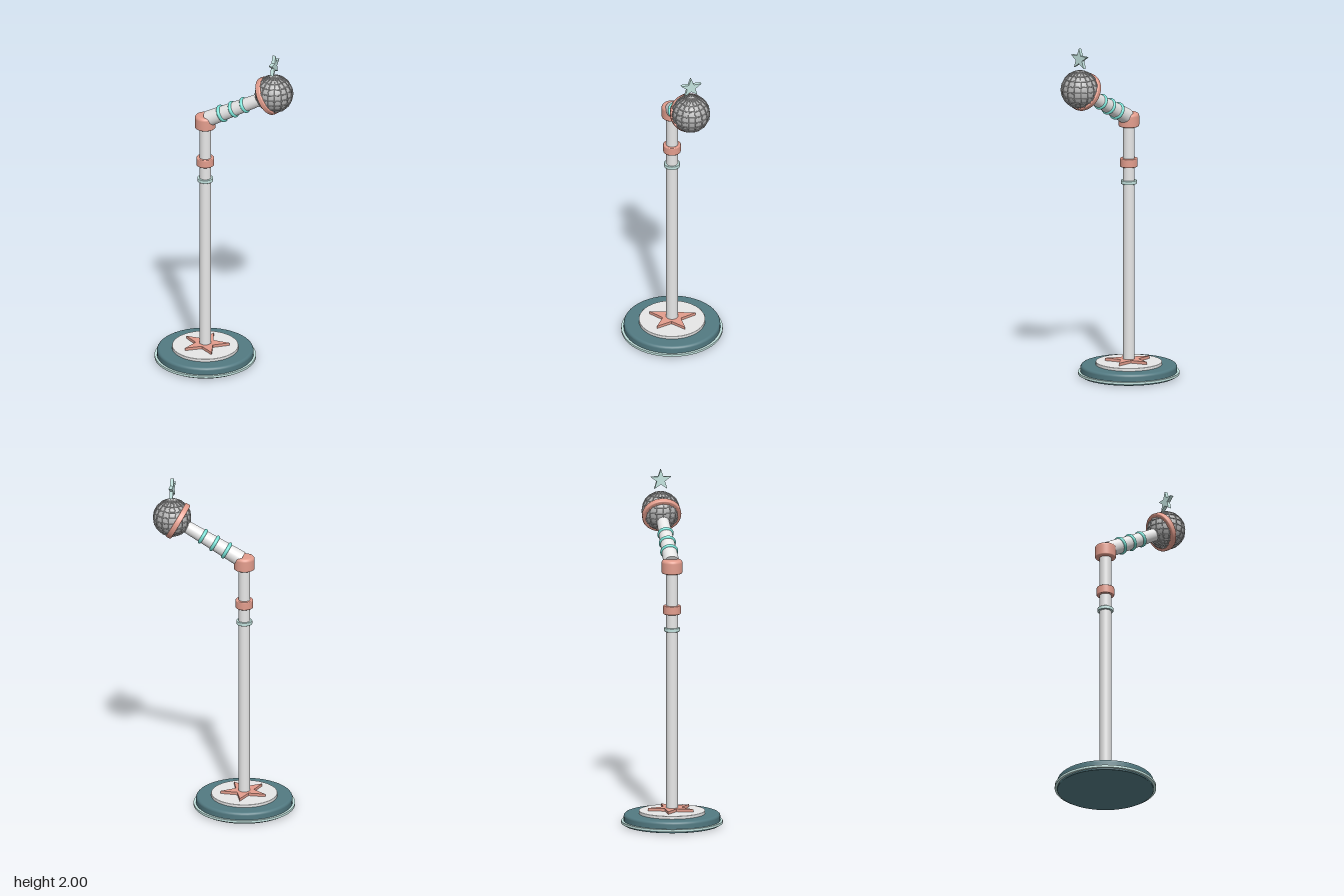
import * as THREE from 'three';

const mat = (name, color) => {
  const m = new THREE.MeshStandardMaterial({ color });
  m.name = name;
  return m;
};

export function createModel() {
  const coral = mat('coral', 0xe39d8d);
  const teal = mat('deep teal', 0x527a82);
  const mint = mat('pale mint', 0xc3e3df);
  const aqua = mat('turquoise', 0x76dfd3);
  const silver = mat('light grey', 0xebebeb);
  const grille = mat('grille grey', 0xb4b4b4);
  const wire = mat('wire grey', 0xc4c4c4);

  const model = new THREE.Group();
  model.name = 'microphoneStand';
  const add = (parent, name, geo, material, x = 0, y = 0, z = 0) => {
    const m = new THREE.Mesh(geo, material);
    m.name = name;
    m.position.set(x, y, z);
    parent.add(m);
    return m;
  };
  const cyl = (rTop, rBottom, h) => new THREE.CylinderGeometry(rTop, rBottom, h, 48);

  // Solid of revolution with rounded rims: radius r, from y0 to y1, bevel b
  const roundedDisc = (r, y0, y1, bTop, bBottom = bTop, inner = 0) => {
    const pts = [new THREE.Vector2(inner, y0)];
    const arc = (cy, b, from) => {
      for (let i = 0; i <= 5; i++) {
        const a = from + (i / 5) * Math.PI / 2;
        pts.push(new THREE.Vector2(r - b + b * Math.cos(a), cy + b * Math.sin(a)));
      }
    };
    arc(y0 + bBottom, bBottom, -Math.PI / 2);
    arc(y1 - bTop, bTop, 0);
    pts.push(new THREE.Vector2(inner, y1));
    return new THREE.LatheGeometry(pts, 48);
  };

  // Five-pointed star in the xy plane, centred in depth
  const starGeometry = (r, depth) => {
    const shape = new THREE.Shape();
    for (let i = 0; i < 10; i++) {
      const a = Math.PI / 2 + (i * Math.PI) / 5;
      const q = i % 2 ? r * 0.4 : r;
      shape[i ? 'lineTo' : 'moveTo'](q * Math.cos(a), q * Math.sin(a));
    }
    shape.closePath();
    return new THREE.ExtrudeGeometry(shape, { depth, bevelEnabled: false }).translate(0, 0, -depth / 2);
  };

  // Base and upright
  const stand = new THREE.Group();
  stand.name = 'stand';
  stand.position.x = -0.123;
  model.add(stand);
  add(stand, 'base', roundedDisc(0.278, 0, 0.066, 0.016, 0.004), teal);
  add(stand, 'baseRim', cyl(0.292, 0.292, 0.014), mint, 0, 0.017);
  add(stand, 'baseDisc', roundedDisc(0.191, 0.06, 0.083, 0.003), silver);
  add(stand, 'baseStar', starGeometry(0.139, 0.02), coral, 0, 0.089).rotation.x = -Math.PI / 2;
  add(stand, 'pole', cyl(0.034, 0.034, 1.42), silver, 0, 0.79);
  add(stand, 'poleRing', roundedDisc(0.046, 1.131, 1.152, 0.003), mint);
  add(stand, 'poleCollar', roundedDisc(0.051, 1.232, 1.282, 0.005), coral);
  add(stand, 'joint', roundedDisc(0.06, 1.47, 1.55, 0.018, 0.008), coral);

  // Tilted arm: local y runs along its length
  const arm = new THREE.Group();
  arm.name = 'arm';
  arm.position.set(-0.105, 1.53, 0);
  arm.rotation.z = -THREE.MathUtils.degToRad(61);
  model.add(arm);
  add(arm, 'handle', cyl(0.035, 0.046, 0.4), silver, 0, 0.2);
  [0.098, 0.178, 0.257].forEach((d, i) => {
    add(arm, 'handleRing', new THREE.TorusGeometry(0.042 - i * 0.0025, 0.0105, 12, 40), aqua, 0, d).rotation.x = Math.PI / 2;
  });

  // Microphone head: ball wrapped in a faceted wire cage
  const head = new THREE.Group();
  head.name = 'head';
  head.position.set(0.3, 1.758, 0);
  model.add(head);
  const R = 0.109, wireR = 0.003, meridians = 16, rows = 10;
  add(head, 'grilleBall', new THREE.SphereGeometry(0.106, 32, 20), grille);
  for (let i = 0; i < meridians / 2; i++) {
    add(head, 'meridianWire', new THREE.TorusGeometry(R, wireR, 6, rows * 2), wire).rotation.set(0, (i * 2 * Math.PI) / meridians, Math.PI / 2);
  }
  for (let i = 1; i < rows; i++) {
    const a = (i * Math.PI) / rows;
    const ring = new THREE.TorusGeometry(R * Math.sin(a), wireR, 6, meridians);
    add(head, 'latitudeWire', ring, wire, 0, R * Math.cos(a)).rotation.x = Math.PI / 2;
  }

  // Coral band around the back of the head, square to the arm
  const band = add(head, 'headBand', roundedDisc(0.113, -0.016, 0.016, 0.007, 0.007, 0.09), coral);
  band.rotation.z = arm.rotation.z;
  band.position.set(-0.035, -0.019, 0);

  // Star on top, facing sideways
  add(model, 'topStar', starGeometry(0.063, 0.02), mint, 0.3, 1.937).rotation.y = Math.PI / 2;

  return model;
}
